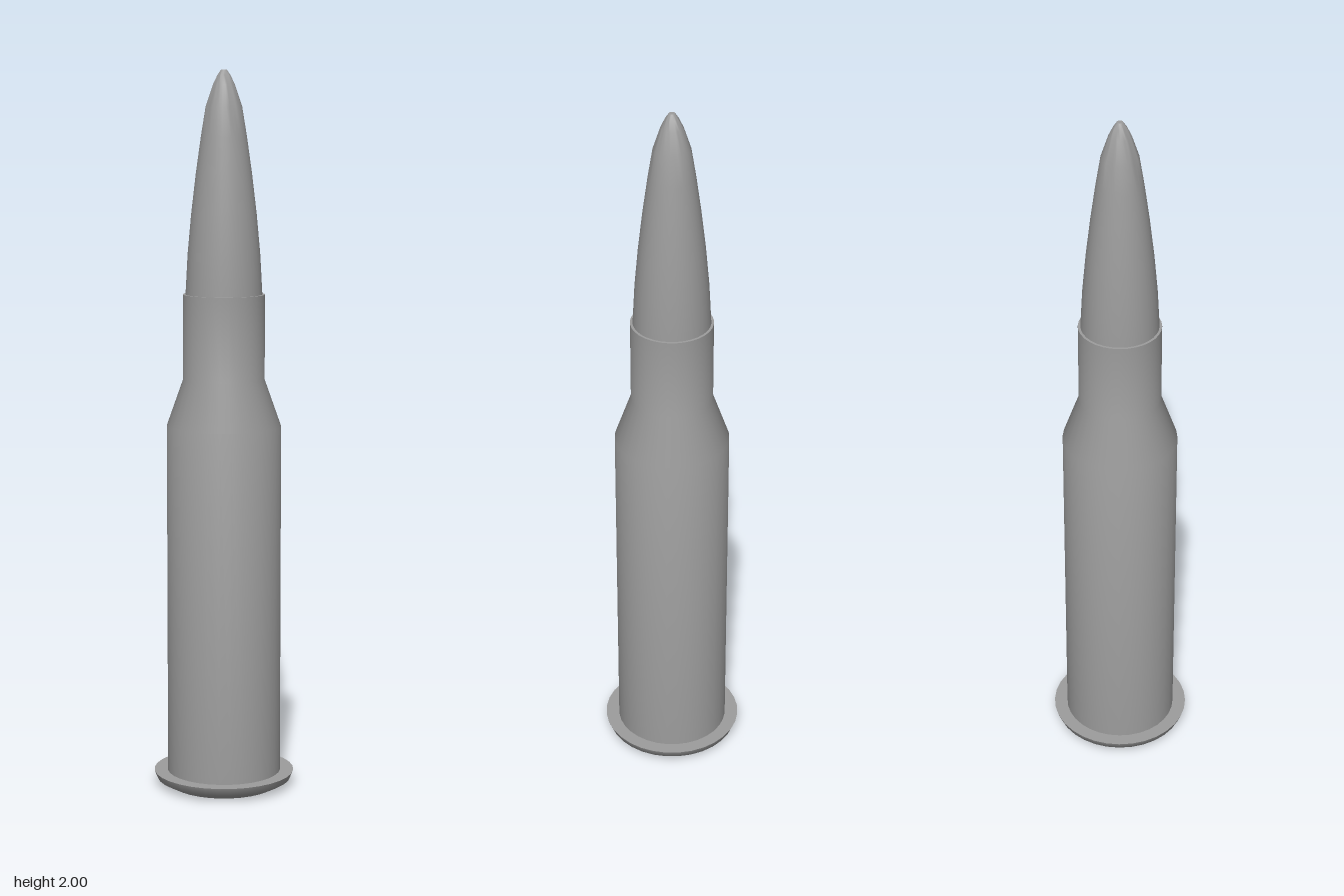
import * as THREE from 'three';
import { toCreasedNormals } from 'three/addons/utils/BufferGeometryUtils.js';

const SIDES = 32;
const material = new THREE.MeshStandardMaterial({ color: 0x9c9c9c });

// Revolves a [radius, height] profile, listed bottom to top, keeping hard edges sharp
function turned(name, profile) {
  const points = profile.map(([r, y]) => new THREE.Vector2(r, y));
  const geometry = toCreasedNormals(new THREE.LatheGeometry(points, SIDES), THREE.MathUtils.degToRad(45));
  const mesh = new THREE.Mesh(geometry, material);
  mesh.name = name;
  return mesh;
}

export function createModel() {
  const group = new THREE.Group();
  group.name = 'cartridge';

  // Rounded base, rim, straight body, shoulder, neck and mouth lip
  group.add(turned('case', [
    [0, 0], [0.15, 0], [0.188, 0.02], [0.197, 0.042],
    [0.159, 0.042], [0.159, 1.025],
    [0.113, 1.155], [0.113, 1.39],
    [0.104, 1.39], [0.104, 1.35],
  ]));

  // Tapered tip with a tiny flat end, seated in the neck
  group.add(turned('bullet', [
    [0, 1.35], [0.107, 1.35], [0.106, 1.39], [0.1, 1.5],
    [0.09, 1.61], [0.077, 1.72], [0.063, 1.82], [0.05, 1.9],
    [0.03, 1.96], [0.018, 1.985], [0.008, 2], [0, 2],
  ]));

  return group;
}
